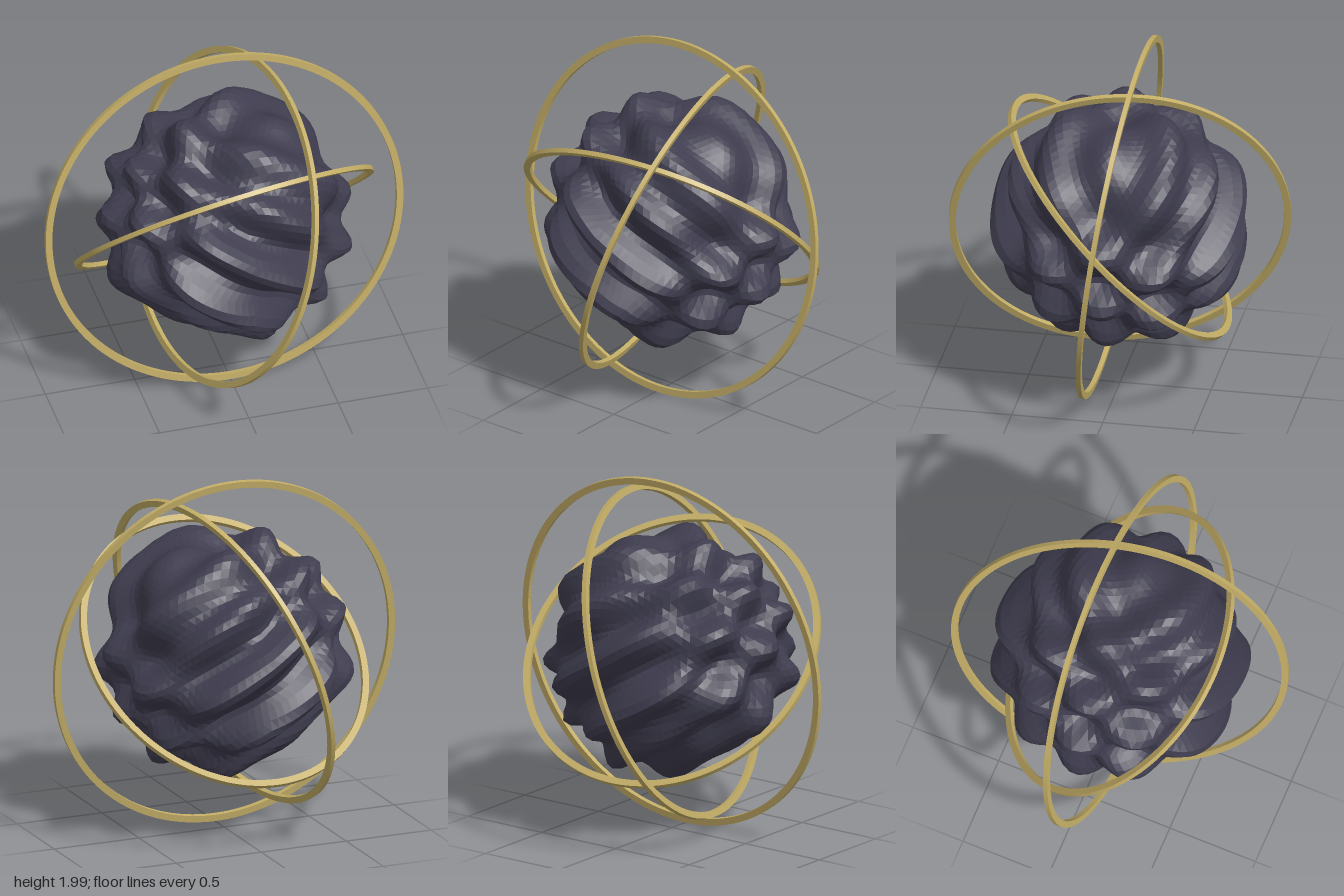
import * as THREE from 'three';

const stone = new THREE.MeshStandardMaterial({ color: 0x3f3d4f, flatShading: true });
stone.name = 'dark stone';
const gold = new THREE.MeshStandardMaterial({ color: 0xc2ac65 });
gold.name = 'old gold';

// Sphere whose radius ripples along two crossing waves, giving ridges and knobs
function makeCore(radius, height) {
  const geometry = new THREE.IcosahedronGeometry(1, 17);
  const pos = geometry.attributes.position;
  const p = new THREE.Vector3();
  for (let i = 0; i < pos.count; i++) {
    p.fromBufferAttribute(pos, i).normalize();
    const wave = Math.sin(7 * p.x + 11 * p.y) * Math.cos(7 * p.z);
    p.multiplyScalar(radius + height * wave);
    pos.setXYZ(i, p.x, p.y, p.z);
  }
  geometry.computeVertexNormals();
  const core = new THREE.Mesh(geometry, stone);
  core.name = 'rippledCore';
  return core;
}

// Flat hoop with a rectangular section, facing along its axis
function makeRing(name, radius, axis) {
  const width = 0.037, depth = 0.026;
  const shape = new THREE.Shape().absarc(0, 0, radius, 0, Math.PI * 2, false);
  shape.holes.push(new THREE.Path().absarc(0, 0, radius - width, 0, Math.PI * 2, true));
  const geometry = new THREE.ExtrudeGeometry(shape, { depth, bevelEnabled: false, curveSegments: 96 });
  geometry.translate(0, 0, -depth / 2);
  const ring = new THREE.Mesh(geometry, gold);
  ring.name = name;
  ring.quaternion.setFromUnitVectors(new THREE.Vector3(0, 0, 1), new THREE.Vector3(...axis).normalize());
  return ring;
}

export function createModel() {
  const model = new THREE.Group();
  model.name = 'ringedCore';
  model.add(
    makeCore(0.63, 0.082),
    makeRing('outerRing', 1.0, [0, 0.13, 0.99]),
    makeRing('middleRing', 0.923, [0.926, -0.318, -0.2]),
    makeRing('innerRing', 0.846, [-0.125, 0.705, -0.7]),
  );
  model.position.y = 0.995;
  const root = new THREE.Group();
  root.add(model);
  return root;
}
